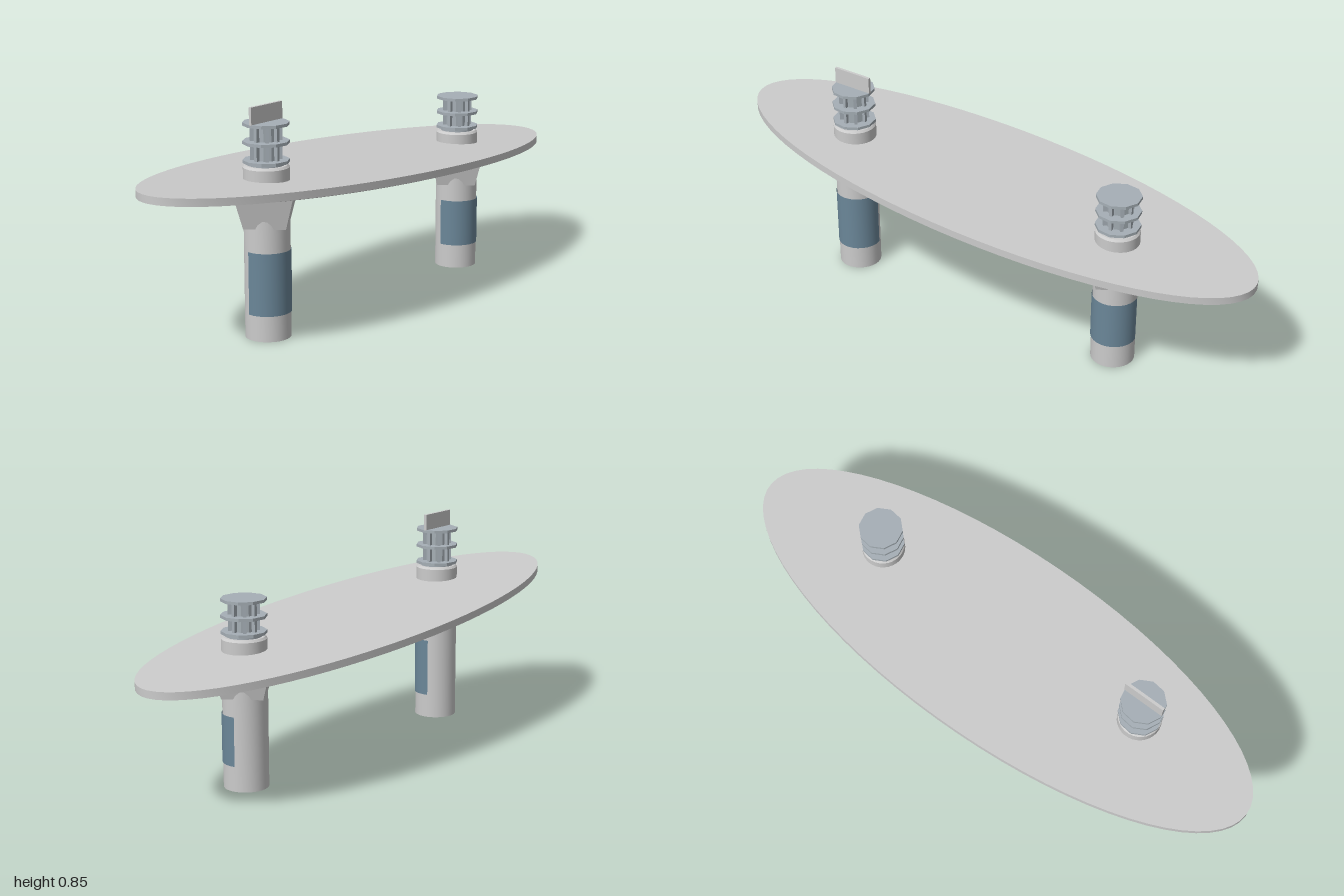
import * as THREE from 'three';
import { toCreasedNormals } from 'three/addons/utils/BufferGeometryUtils.js';

const deg = THREE.MathUtils.degToRad;
const AXIS = deg(-29.2); // heading of the deck's long axis
const grey = new THREE.MeshStandardMaterial({ color: 0xcccccc });
const ringBlue = new THREE.MeshStandardMaterial({ color: 0xa6afb6 });
const bandBlue = new THREE.MeshStandardMaterial({ color: 0x6b8799, side: THREE.DoubleSide });

function add(parent, name, geometry, material, x = 0, y = 0, z = 0) {
  const mesh = new THREE.Mesh(geometry, material);
  mesh.name = name;
  mesh.position.set(x, y, z);
  parent.add(mesh);
  return mesh;
}

// Elliptical deck: flat top, thin rim, shallow bulging underside, slightly sloped
function deckGeometry() {
  const profile = [];
  for (let i = 0; i <= 10; i++) {
    const r = i / 10;
    profile.push(new THREE.Vector2(r, -0.028 - 0.065 * (1 - r * r)));
  }
  profile.push(new THREE.Vector2(1, 0), new THREE.Vector2(0, 0));
  const g = new THREE.LatheGeometry(profile, 72);
  g.scale(0.376, 1, 1.126);
  g.rotateY(AXIS);
  const p = g.attributes.position;
  for (let i = 0; i < p.count; i++) {
    p.setY(i, p.getY(i) + 0.545 - 0.0265 * p.getX(i) + 0.047 * p.getZ(i));
  }
  return toCreasedNormals(g, deg(30));
}

// One tower: post, coloured band, bracket under the deck and ringed head above it
function tower({ x, z, collar, bandTop, bracketY, ringYs }) {
  const g = new THREE.Group();
  g.position.set(x, 0, z);

  const post = new THREE.LatheGeometry([
    [0, 0], [0.083, 0], [0.083, collar - 0.008], [0.076, collar], [0, collar],
  ].map(([r, y]) => new THREE.Vector2(r, y)), 32);
  add(g, 'post', toCreasedNormals(post, deg(30)), grey);

  const h = bandTop - 0.095;
  const band = new THREE.CylinderGeometry(0.086, 0.086, h, 14, 1, true, deg(-40), deg(204));
  add(g, 'postBand', band, bandBlue, 0, 0.095 + h / 2, 0);

  // Four-sided bracket flaring towards the deck
  const bracket = new THREE.CylinderGeometry(0.146, 0.107, 0.115, 4, 1, false, deg(50));
  add(g, 'bracket', toCreasedNormals(bracket, deg(30)), grey, 0, bracketY + 0.0575, 0);

  // Head: base, core, upright ribs and three flat rings
  const head = new THREE.Group();
  head.name = 'ringedHead';
  g.add(head);
  const top = ringYs[2];
  const coreH = top - collar;
  const midY = collar + coreH / 2;
  add(head, 'headBase', new THREE.CylinderGeometry(0.066, 0.066, 0.008, 20), ringBlue, 0, collar + 0.004, 0);
  const core = new THREE.CylinderGeometry(0.045, 0.045, coreH, 10);
  add(head, 'headCore', toCreasedNormals(core, deg(20)), ringBlue, 0, midY, 0);
  for (let i = 0; i < 8; i++) {
    const a = AXIS + i * Math.PI / 4;
    const rib = add(head, 'headRib', new THREE.BoxGeometry(0.012, coreH, 0.016), ringBlue,
      Math.sin(a) * 0.049, midY, Math.cos(a) * 0.049);
    rib.rotation.y = a;
  }
  for (const y of ringYs) {
    const ring = new THREE.CylinderGeometry(0.084, 0.084, 0.011, 10);
    add(head, 'headRing', toCreasedNormals(ring, deg(20)), ringBlue, 0, y, 0);
  }
  return g;
}

export function createModel() {
  const model = new THREE.Group();
  model.name = 'deckOnTowers';
  add(model, 'deck', deckGeometry(), grey);

  const front = tower({
    x: -0.239, z: 0.56, collar: 0.63, bandTop: 0.325, bracketY: 0.412, ringYs: [0.643, 0.711, 0.777],
  });
  front.name = 'frontTower';
  // Upright plate on the taller head, in line with the deck
  const plate = add(front, 'topPlate', new THREE.BoxGeometry(0.011, 0.064, 0.165), grey, 0, 0.813, 0);
  plate.rotation.y = AXIS;

  const rear = tower({
    x: 0.329, z: -0.495, collar: 0.562, bandTop: 0.28, bracketY: 0.345, ringYs: [0.577, 0.636, 0.696],
  });
  rear.name = 'rearTower';

  model.add(front, rear);
  return model;
}
